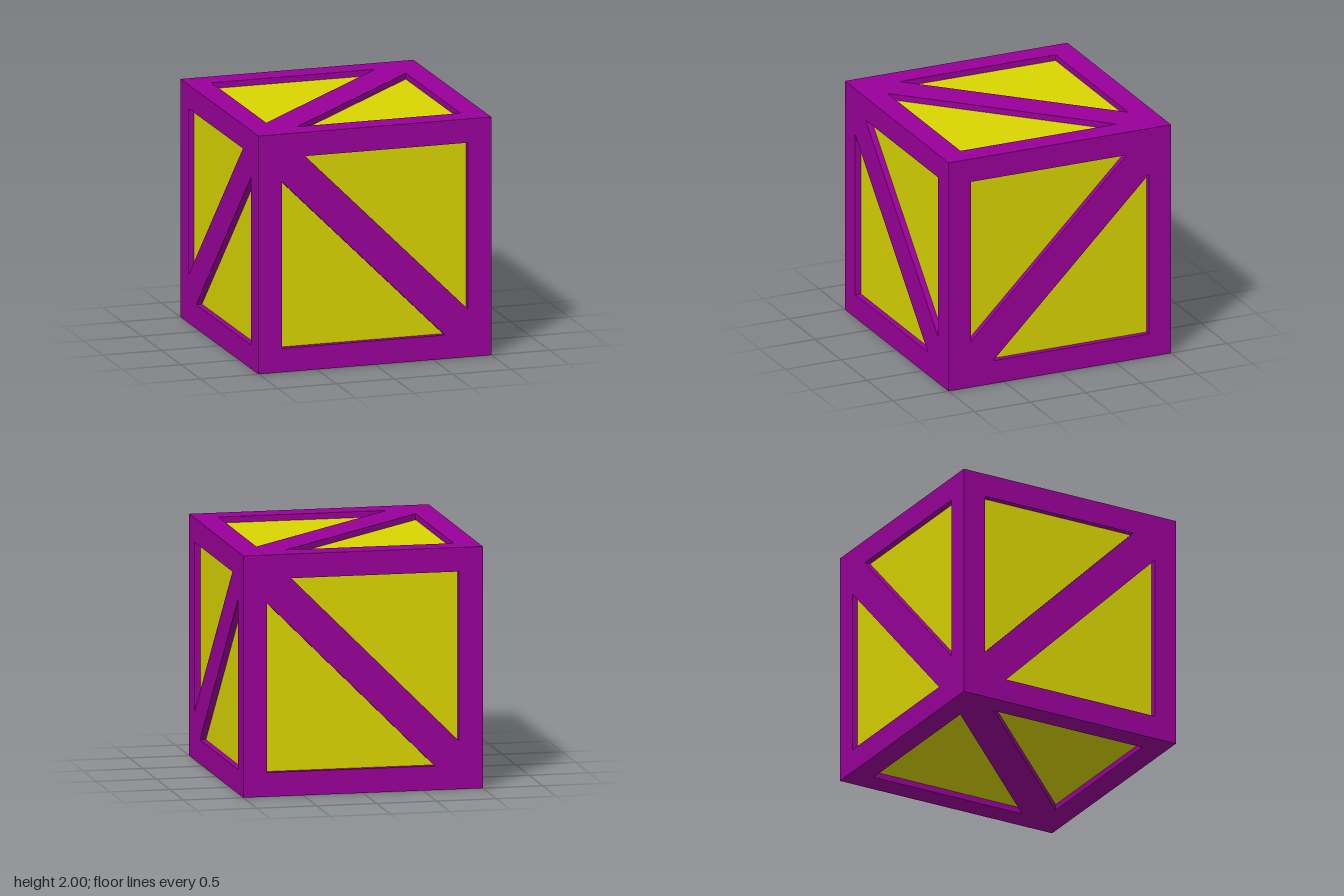
import * as THREE from 'three';

const DEPTH = 0.05; // recess of the panels behind the frame

const frameMaterial = new THREE.MeshStandardMaterial({ color: 0x990099 });
const panelMaterial = new THREE.MeshStandardMaterial({ color: 0xd8d400 });

function polygon(points, Type) {
  return new Type(points.map(([x, y]) => new THREE.Vector2(x, y)));
}

// Square frame with a diagonal brace: a plate with two triangular openings.
// slope 1 runs the brace from top left to bottom right, -1 mirrors it.
function braceFrame(slope) {
  const shape = polygon([[-1, -1], [1, -1], [1, 1], [-1, 1]], THREE.Shape);
  for (const s of [1, -1]) {
    const corners = [[-0.6, 0.8], [0.8, 0.8], [0.8, -0.6]];
    shape.holes.push(polygon(corners.map(([x, y]) => [s * slope * x, s * y]), THREE.Path));
  }
  const geometry = new THREE.ExtrudeGeometry(shape, { depth: DEPTH, bevelEnabled: false });
  geometry.translate(0, 0, 1 - DEPTH);

  // Mitre the outer rim so that neighbouring frames meet along the cube's edges
  const p = geometry.attributes.position;
  for (let i = 0; i < p.count; i++) {
    const z = p.getZ(i);
    if (Math.abs(p.getX(i)) > 0.99) p.setX(i, Math.sign(p.getX(i)) * z);
    if (Math.abs(p.getY(i)) > 0.99) p.setY(i, Math.sign(p.getY(i)) * z);
  }
  geometry.computeVertexNormals();
  return geometry;
}

export function createModel() {
  const crate = new THREE.Group();
  crate.name = 'crate';

  // Inner box whose sides are the recessed panels
  const inner = 2 - 2 * DEPTH;
  const panels = new THREE.Mesh(new THREE.BoxGeometry(inner, inner, inner), panelMaterial);
  panels.name = 'panels';
  panels.position.y = 1;
  crate.add(panels);

  // One braced frame on each side
  const q = Math.PI / 2;
  const falling = braceFrame(1);
  const rising = braceFrame(-1);
  const sides = [
    ['frontFrame', falling, 0, 0],
    ['backFrame', falling, 0, 2 * q],
    ['leftFrame', rising, 0, q],
    ['rightFrame', rising, 0, -q],
    ['topFrame', rising, -q, 0],
    ['bottomFrame', rising, q, 0],
  ];
  for (const [name, geometry, rx, ry] of sides) {
    const frame = new THREE.Mesh(geometry, frameMaterial);
    frame.name = name;
    frame.rotation.set(rx, ry, 0);
    frame.position.y = 1;
    crate.add(frame);
  }
  return crate;
}
